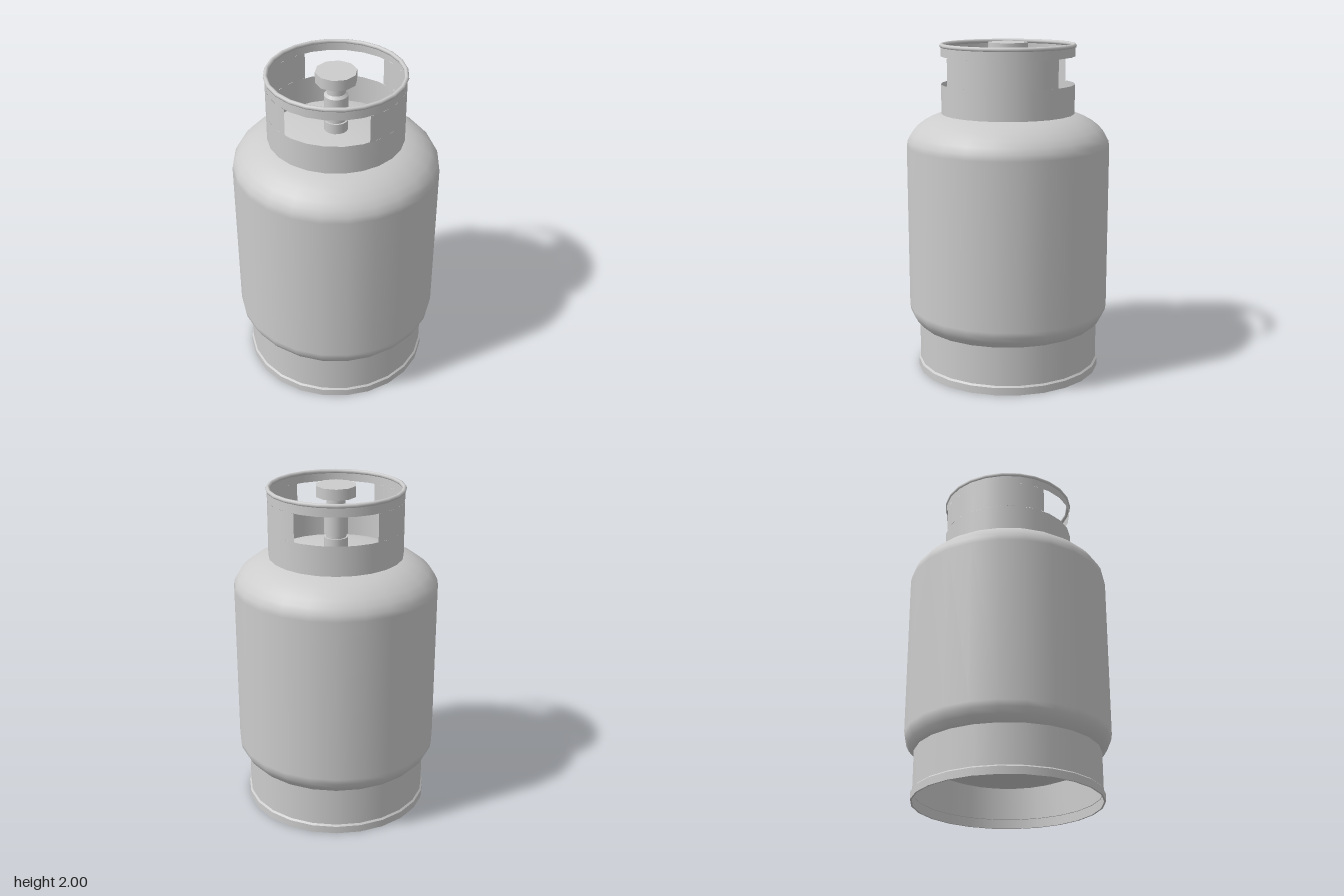
import * as THREE from 'three';

const SIDES = 24;

export function createModel() {
  const group = new THREE.Group();
  group.name = 'gasCylinder';
  const steel = new THREE.MeshStandardMaterial({ color: 0xcccccc, side: THREE.DoubleSide });
  steel.name = 'grey steel';

  const add = (name, geometry, y = 0) => {
    const mesh = new THREE.Mesh(geometry, steel);
    mesh.name = name;
    mesh.position.y = y;
    group.add(mesh);
    return mesh;
  };
  // Open sheet-metal wall between two heights, optionally only an arc
  const wall = (name, r, y0, y1, start = 0, length = Math.PI * 2, sides = SIDES) =>
    add(name, new THREE.CylinderGeometry(r, r, y1 - y0, sides, 1, true, start, length), (y0 + y1) / 2);
  // Solid round part between two heights
  const round = (name, rTop, rBottom, y0, y1, sides = 16) =>
    add(name, new THREE.CylinderGeometry(rTop, rBottom, y1 - y0, sides), (y0 + y1) / 2);

  // Tank: domed top, mirrored for the bottom
  const dome = [[0.61, 1.39], [0.604, 1.425], [0.585, 1.46], [0.555, 1.495], [0.51, 1.53],
    [0.46, 1.557], [0.4, 1.58], [0.3, 1.605], [0.15, 1.624], [0, 1.63]];
  const profile = [
    ...dome.map(([r, y]) => new THREE.Vector2(r, 1.79 - y)).reverse(),
    ...dome.map(([r, y]) => new THREE.Vector2(r, y)),
  ];
  add('tank', new THREE.LatheGeometry(profile, SIDES));

  // Foot ring with a thicker band at the ground
  wall('footRing', 0.55, 0, 0.31);
  wall('footBand', 0.56, 0, 0.045);
  add('footBandTop', new THREE.CylinderGeometry(0.548, 0.56, 0.012, SIDES, 1, true), 0.051);
  const underside = add('footBandUnderside', new THREE.RingGeometry(0.55, 0.56, SIDES));
  underside.rotation.x = Math.PI / 2;

  // Collar with a hand opening at front and back
  const half = Math.PI / 5;
  wall('collarLower', 0.4, 1.575, 1.755);
  wall('collarUpper', 0.4, 1.92, 1.985);
  for (const start of [half, half + Math.PI]) {
    wall('collarSide', 0.4, 1.755, 1.92, start, Math.PI - 2 * half, 8);
  }
  const rim = add('collarRim', new THREE.TorusGeometry(0.395, 0.013, 8, SIDES), 1.982);
  rim.rotation.x = Math.PI / 2;

  // Valve and hand wheel
  round('valveBase', 0.07, 0.07, 1.6, 1.69);
  round('valveGroove', 0.06, 0.06, 1.69, 1.71);
  round('valveBody', 0.07, 0.07, 1.71, 1.85);
  round('valveShoulder', 0.055, 0.07, 1.85, 1.865);
  round('valveStem', 0.055, 0.055, 1.865, 1.94);
  round('handWheel', 0.12, 0.12, 1.935, 2, 10);

  return group;
}
